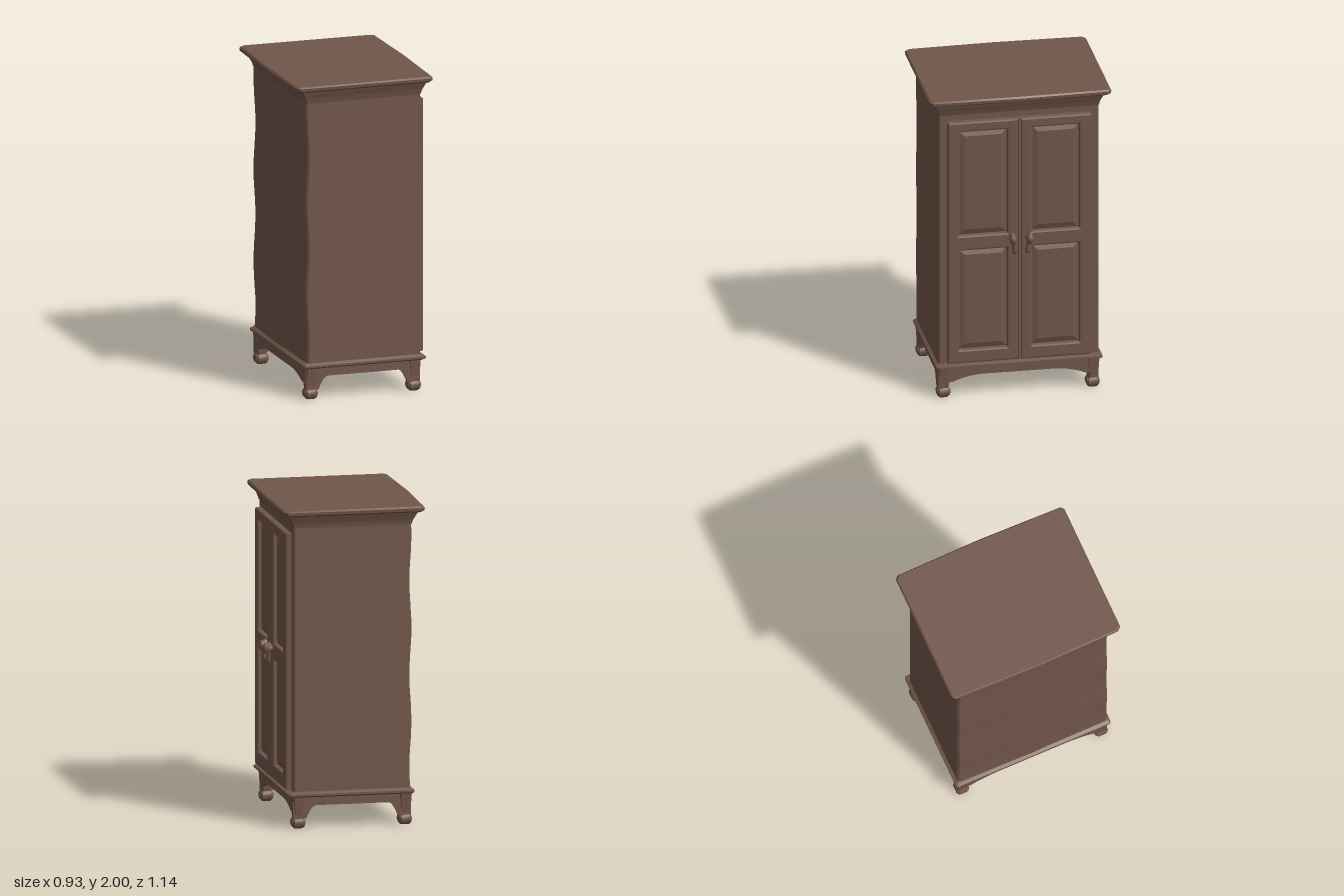
import * as THREE from 'three';
import { toCreasedNormals } from 'three/addons/utils/BufferGeometryUtils.js';

const wood = new THREE.MeshStandardMaterial({ color: 0x71564a });
wood.name = 'brown wood';

// Stack of chamfered rectangles: [y, x0, x1, z0, z1, chamfer, backBulge, frontBulge]
function loft(sections, crease = 0.6) {
  const pos = [];
  const rings = sections.map(([y, x0, x1, z0, z1, c = 0.01, back = 0, front = 0]) => [
    [x1 - c, z1], [x1, z1 - c], [x1 + front, (z0 + z1) / 2], [x1, z0 + c], [x1 - c, z0],
    [x0 + c, z0], [x0, z0 + c], [x0 - back, (z0 + z1) / 2], [x0, z1 - c], [x0 + c, z1],
  ].map(([x, z]) => [x, y, z]));
  const tri = (...points) => points.forEach((p) => pos.push(...p));
  const centre = ([y, x0, x1, z0, z1]) => [(x0 + x1) / 2, y, (z0 + z1) / 2];
  const last = rings.length - 1;
  const n = rings[0].length;
  for (let i = 0; i < n; i++) {
    const j = (i + 1) % n;
    for (let k = 0; k < last; k++) {
      const lo = rings[k], hi = rings[k + 1];
      tri(lo[i], lo[j], hi[j]);
      tri(lo[i], hi[j], hi[i]);
    }
    tri(centre(sections[0]), rings[0][j], rings[0][i]);
    tri(centre(sections[last]), rings[last][i], rings[last][j]);
  }
  const geo = new THREE.BufferGeometry();
  geo.setAttribute('position', new THREE.Float32BufferAttribute(pos, 3));
  return toCreasedNormals(geo, crease);
}

function rectPath(path, u0, u1, y0, y1) {
  path.moveTo(u0, y0);
  path.lineTo(u1, y0);
  path.lineTo(u1, y1);
  path.lineTo(u0, y1);
  path.closePath();
  return path;
}

// Apron outline: straight top, raised middle and curved ends
function apronShape(u0, u1, endY, run) {
  const s = new THREE.Shape();
  s.moveTo(u0, 0.205);
  s.lineTo(u0, endY);
  s.lineTo(u0 + 0.08, endY);
  s.quadraticCurveTo(u0 + 0.09 + run * 0.4, 0.135, u0 + 0.09 + run, 0.142);
  s.lineTo(u1 - 0.09 - run, 0.142);
  s.quadraticCurveTo(u1 - 0.09 - run * 0.4, 0.135, u1 - 0.08, endY);
  s.lineTo(u1, endY);
  s.lineTo(u1, 0.205);
  s.closePath();
  return s;
}

export function createModel() {
  const model = new THREE.Group();
  model.name = 'wardrobe';
  function add(name, geo, parent = model) {
    const mesh = new THREE.Mesh(geo, wood);
    mesh.name = name;
    parent.add(mesh);
    return mesh;
  }

  // Cabinet with gently uneven back corners
  const bodySections = [];
  for (let i = 0; i <= 16; i++) {
    const wave = 0.007 * Math.sin(i * 1.15);
    bodySections.push([0.21 + (i / 16) * 1.71, -0.378 + wave, 0.362, -0.508, 0.5, 0.012, 0.007 + wave]);
  }
  add('cabinetBody', loft(bodySections));

  // Base moulding
  add('baseMoulding', loft([
    [0.195, -0.39, 0.372, -0.518, 0.508],
    [0.203, -0.4, 0.395, -0.526, 0.516],
    [0.216, -0.4, 0.395, -0.526, 0.516],
    [0.23, -0.382, 0.365, -0.51, 0.502],
  ]));

  // Cornice flaring out under the top
  add('cornice', loft([
    [1.88, -0.385, 0.364, -0.51, 0.502],
    [1.905, -0.392, 0.372, -0.514, 0.508],
    [1.92, -0.4, 0.378, -0.52, 0.512],
    [1.945, -0.414, 0.39, -0.53, 0.524],
    [1.968, -0.42, 0.395, -0.54, 0.53],
  ]));
  add('topBoard', loft([
    [1.962, -0.436, 0.412, -0.56, 0.546, 0.018, 0.01, 0.008],
    [1.972, -0.454, 0.426, -0.575, 0.557, 0.02, 0.012, 0.01],
    [1.99, -0.456, 0.428, -0.577, 0.56, 0.02, 0.012, 0.01],
    [2.0, -0.448, 0.42, -0.568, 0.552, 0.02, 0.012, 0.01],
  ]));

  // Aprons: the pair facing x is turned so that u runs along -z
  for (const x of [-0.382, 0.332]) {
    const geo = new THREE.ExtrudeGeometry(apronShape(-0.492, 0.502, 0.1, 0.17), { depth: 0.03, bevelEnabled: false });
    geo.rotateY(Math.PI / 2);
    add('frontBackApron', geo).position.x = x;
  }
  for (const z of [-0.505, 0.467]) {
    const geo = new THREE.ExtrudeGeometry(apronShape(-0.38, 0.36, 0.06, 0.05), { depth: 0.03, bevelEnabled: false });
    add('sideApron', geo).position.z = z;
  }

  // Tapered legs on bun feet
  const legRows = [
    [0, 0.028], [0.012, 0.038], [0.035, 0.043], [0.052, 0.039],
    [0.062, 0.031], [0.11, 0.036], [0.2, 0.042],
  ];
  for (const x of [-0.345, 0.326]) {
    for (const z of [-0.472, 0.463]) {
      const leg = add('leg', loft(legRows.map(([y, r]) => [y, -r, r, -r, r, r * 0.35]), 0.7));
      leg.position.set(x, 0, z);
    }
  }

  // Paired doors with two raised panels each
  const doors = [
    { name: 'leftDoor', z: [0.003, 0.445], panel: [0.073, 0.372], knob: 0.04, tilt: 0.15 },
    { name: 'rightDoor', z: [-0.458, -0.012], panel: [-0.378, -0.085], knob: -0.06, tilt: -0.15 },
  ];
  const panelHeights = [[0.325, 0.985], [1.085, 1.775]];
  for (const d of doors) {
    const door = new THREE.Group();
    door.name = d.name;
    model.add(door);

    const frame = rectPath(new THREE.Shape(), -d.z[1], -d.z[0], 0.235, 1.843);
    for (const [y0, y1] of panelHeights) {
      frame.holes.push(rectPath(new THREE.Path(), -d.panel[1], -d.panel[0], y0, y1));
    }
    const frameGeo = new THREE.ExtrudeGeometry(frame, {
      depth: 0.028, bevelEnabled: true, bevelThickness: 0.012, bevelSize: 0.012, bevelOffset: -0.012, bevelSegments: 2,
    });
    frameGeo.rotateY(Math.PI / 2);
    add('doorFrame', frameGeo, door).position.x = 0.361;

    for (const [y0, y1] of panelHeights) {
      const w = d.panel[1] - d.panel[0], h = y1 - y0;
      const field = rectPath(new THREE.Shape(), -w / 2, w / 2, -h / 2, h / 2);
      const geo = new THREE.ExtrudeGeometry(field, {
        depth: 0.004, bevelEnabled: true, bevelThickness: 0.013, bevelSize: 0.035, bevelOffset: -0.035, bevelSegments: 1,
      });
      geo.rotateY(Math.PI / 2);
      add('raisedPanel', geo, door).position.set(0.364, (y0 + y1) / 2, (d.panel[0] + d.panel[1]) / 2);
    }

    // Drop pull hanging from a short stem
    const pull = new THREE.Group();
    pull.name = 'doorPull';
    pull.position.set(0.4, 1.04, d.knob);
    pull.rotation.x = d.tilt;
    door.add(pull);
    const stem = new THREE.CylinderGeometry(0.02, 0.024, 0.045, 8);
    stem.rotateZ(-Math.PI / 2);
    add('pullStem', stem, pull).position.set(0.02, 0.01, 0);
    const head = add('pullHead', new THREE.SphereGeometry(0.028, 8, 6), pull);
    head.position.set(0.037, 0.012, 0);
    head.scale.set(0.95, 1.25, 0.85);
    const drop = [[0, -0.09], [0.014, -0.085], [0.017, -0.06], [0.013, -0.03], [0.02, 0.01], [0.018, 0.04], [0, 0.055]];
    const dropGeo = new THREE.LatheGeometry(drop.map(([r, y]) => new THREE.Vector2(r, y)), 8);
    add('pullDrop', dropGeo, pull).position.x = 0.022;
  }

  // Rounded bead covering the meeting edge of the doors
  add('doorBead', loft([
    [0.24, 0.36, 0.401, -0.012, 0.008, 0.006],
    [1.84, 0.36, 0.401, -0.012, 0.008, 0.006],
  ]));

  return model;
}
